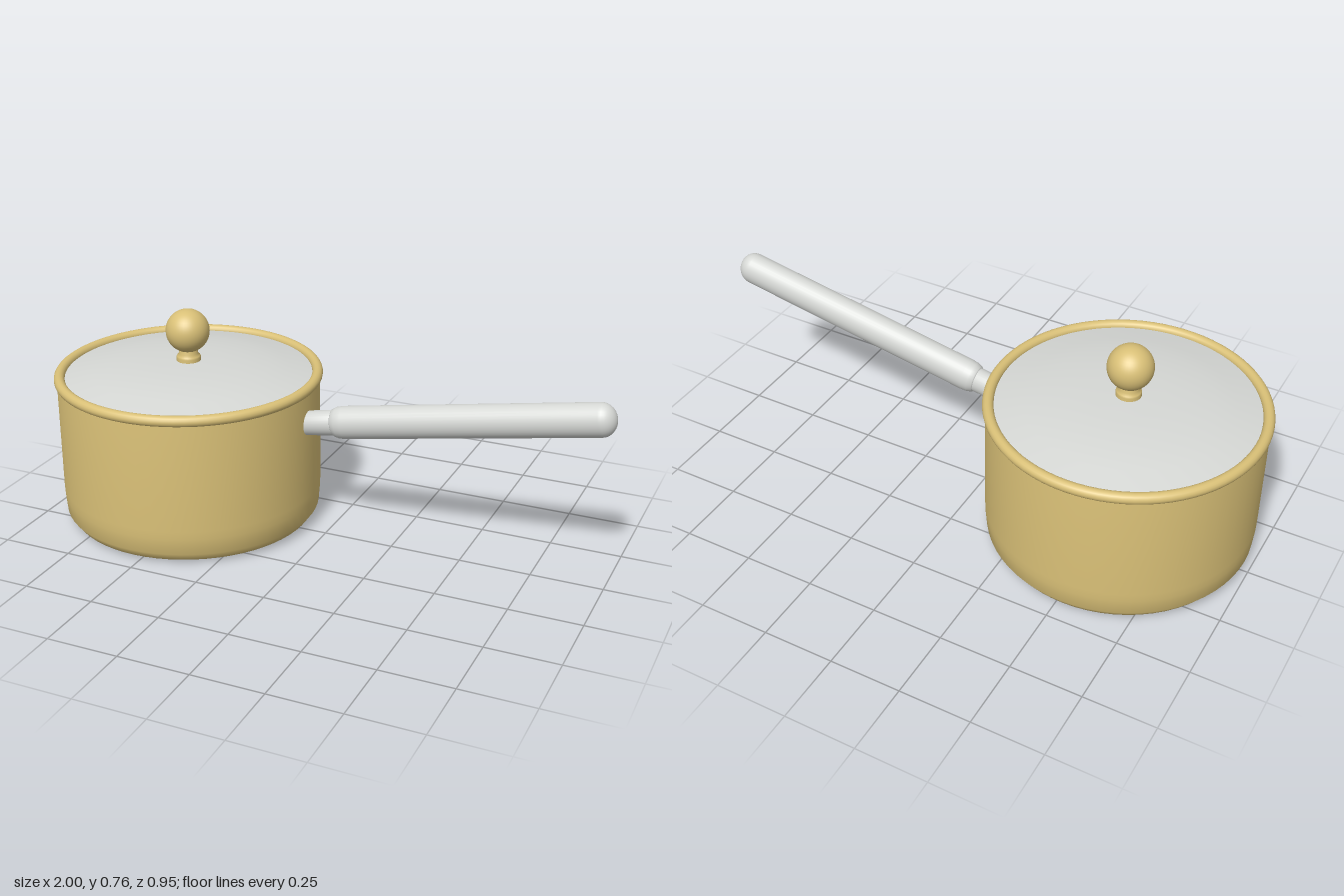
import * as THREE from 'three';

const brass = new THREE.MeshStandardMaterial({ name: 'brass', color: 0xd9c077 });
const steel = new THREE.MeshStandardMaterial({ name: 'steel', color: 0xd6d8d5 });

const POT_X = -0.527;
const HANDLE_TILT = THREE.MathUtils.degToRad(10.3);

// Turned part from [radius, height] pairs
function turned(name, profile, material, segments = 64) {
  const points = profile.map(([r, y]) => new THREE.Vector2(r, y));
  const mesh = new THREE.Mesh(new THREE.LatheGeometry(points, segments), material);
  mesh.name = name;
  return mesh;
}

// Quarter-ellipse end cap points, from the axis outwards
function cap(radius, depth, steps = 8) {
  return Array.from({ length: steps + 1 }, (_, i) => {
    const a = (i / steps) * Math.PI / 2;
    return [radius * Math.sin(a), depth * (1 - Math.cos(a))];
  });
}

export function createModel() {
  const model = new THREE.Group();
  model.name = 'saucepan';

  // Pot, rim, lid and knob share one vertical axis
  const pot = new THREE.Group();
  pot.name = 'pot';
  pot.position.x = POT_X;
  model.add(pot);

  pot.add(turned('body', [
    [0, 0], [0.385, 0], [0.4, 0.001], [0.435, 0.012], [0.457, 0.042],
    [0.462, 0.1], [0.463, 0.13], [0.463, 0.53],
    [0.44, 0.53], [0.44, 0.06], [0.41, 0.025], [0, 0.025],
  ], brass));

  const rim = new THREE.Mesh(new THREE.TorusGeometry(0.454, 0.019, 16, 80), brass);
  rim.name = 'rim';
  rim.rotation.x = Math.PI / 2;
  rim.position.y = 0.531;
  pot.add(rim);

  pot.add(turned('lid', [
    [0.445, 0.53], [0.35, 0.55], [0.28, 0.562], [0.2, 0.57], [0.12, 0.575], [0, 0.577],
  ], steel));

  pot.add(turned('knobStem', [
    [0.043, 0.565], [0.043, 0.588], [0.041, 0.594], [0.034, 0.602], [0.032, 0.63],
  ], brass, 32));

  const knob = new THREE.Mesh(new THREE.SphereGeometry(0.077, 40, 24), brass);
  knob.name = 'knob';
  knob.position.y = 0.685;
  pot.add(knob);

  // Rising handle, slightly taller than wide
  const handle = new THREE.Group();
  handle.name = 'handle';
  handle.position.set(-0.1, 0.407, 0);
  handle.rotation.z = HANDLE_TILT - Math.PI / 2;
  handle.scale.x = 1.13;
  model.add(handle);

  handle.add(turned('handleNeck', [[0, 0], [0.038, 0], [0.04, 0.17], [0, 0.17]], steel, 32));

  const start = [[0, 0.128], [0.036, 0.129], [0.043, 0.136], [0.049, 0.152], [0.051, 0.175]];
  const end = cap(0.051, 0.051).reverse().map(([r, d]) => [r, 1.117 - d]);
  handle.add(turned('grip', [...start, ...end], steel, 32));

  return model;
}
